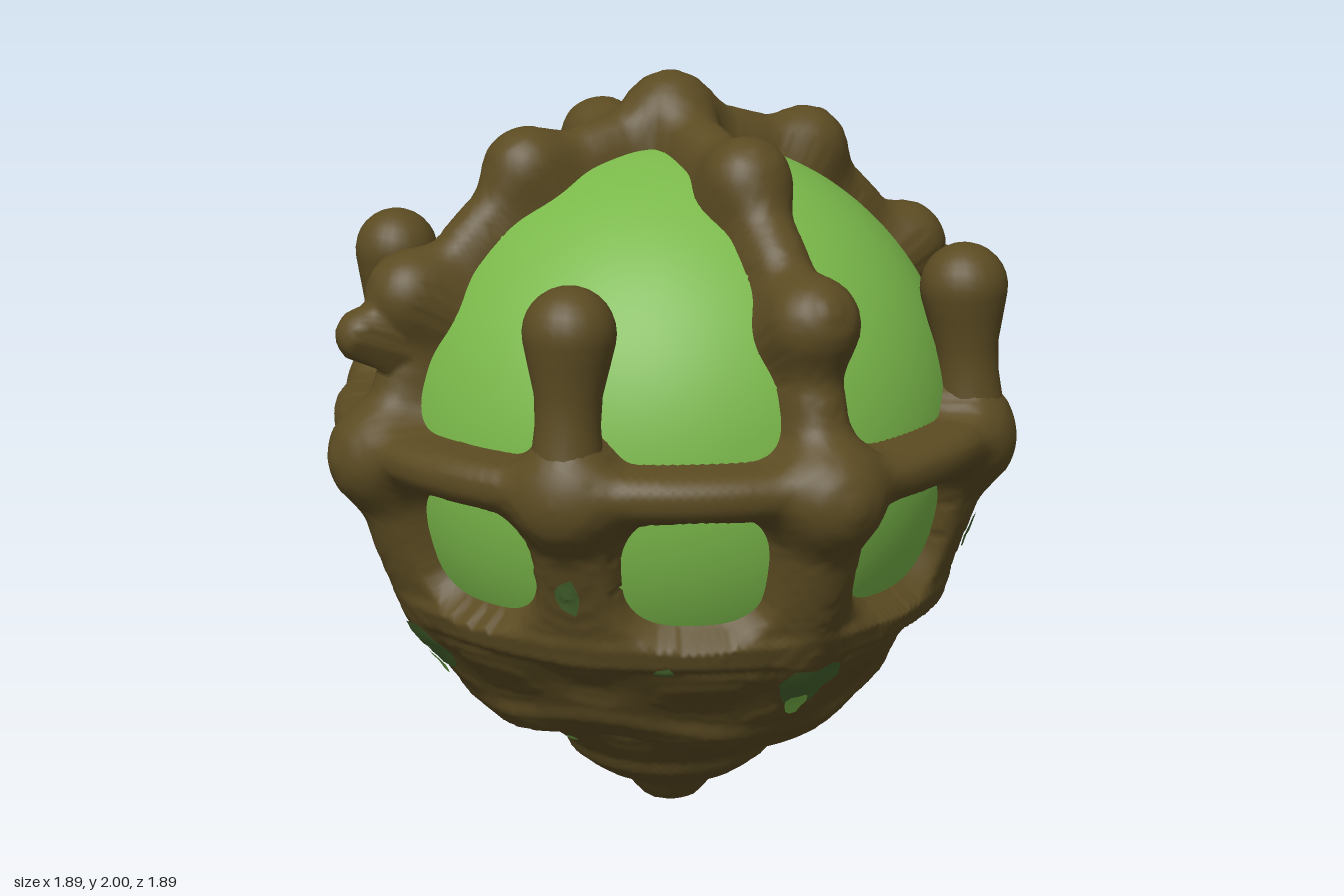
import * as THREE from 'three';
import { mergeVertices } from 'three/addons/utils/BufferGeometryUtils.js';

const CY = 1.07;        // height of the core's centre
const CORE_R = 0.76;

// Bowl outline: [height, radius]
const bowl = [[0, 0.02], [0.02, 0.075], [0.09, 0.13], [0.13, 0.21], [0.18, 0.275], [0.22, 0.29], [0.31, 0.385],
  [0.345, 0.45], [0.36, 0.515], [0.42, 0.575], [0.46, 0.59], [0.54, 0.64], [0.63, 0.705], [0.68, 0.72], [0.83, 0.78]];

function bowlRadius(y) {
  for (let i = 1; i < bowl.length; i++) {
    const [y0, r0] = bowl[i - 1], [y1, r1] = bowl[i];
    if (y <= y1) return r0 + (r1 - r0) * Math.max(0, (y - y0) / (y1 - y0));
  }
  return 0.78;
}

// Distance helpers for blending the root-like cage
const blend = (a, b, k) => {
  const h = Math.max(k - Math.abs(a - b), 0) / k;
  return Math.min(a, b) - h * h * k * 0.25;
};
function capsule(x, y, z, a, b, r) {
  const d = [b[0] - a[0], b[1] - a[1], b[2] - a[2]];
  const p = [x - a[0], y - a[1], z - a[2]];
  const len = d[0] * d[0] + d[1] * d[1] + d[2] * d[2];
  const t = Math.min(1, Math.max(0, (p[0] * d[0] + p[1] * d[1] + p[2] * d[2]) / len));
  return Math.hypot(p[0] - d[0] * t, p[1] - d[1] * t, p[2] - d[2] * t) - r;
}

const S = Math.SQRT1_2;
const diag = (rho, y) => [rho * S, y, rho * S];
// Struts and pillar feet within one eighth of the cage: start, end, radius
const limbs = [
  [[0.64, 0.68, 0], [0.8, 1.06, 0], 0.08],
  [diag(0.64, 0.68), diag(0.79, 1.06), 0.08],
  [diag(0.8, 1.1), diag(0.795, 1.2), 0.065],
];
// Knobs: centre, radius
const knobs = [
  [[0, 1.87, 0], 0.125], [[0.4, 1.77, 0], 0.11], [[0.715, 1.485, 0], 0.115],
  [[0.825, 1.09, 0], 0.115], [diag(0.78, 1.1), 0.12],
];

// Distance to the whole cage, folded into one eighth by symmetry
function cageDistance(px, y, pz) {
  let x = Math.abs(px), z = Math.abs(pz);
  const onSide = x > z;
  if (!onSide) [x, z] = [z, x];
  const rho = Math.hypot(x, z), az = Math.atan2(z, x);
  // ring round the middle and arch over the top
  let d = Math.hypot(rho - 0.82, y - 1.118) - 0.058;
  d = blend(d, Math.hypot(Math.hypot(x, y - CY) - 0.765, z) - 0.076, 0.12);
  for (const [a, b, r] of limbs) d = blend(d, capsule(x, y, z, a, b, r), 0.09);
  for (const [c, r] of knobs) d = blend(d, Math.hypot(x - c[0], y - c[1], z - c[2]) - r, 0.06);
  if (onSide) d = blend(d, Math.hypot(x - 0.845, y - 1.4, z) - 0.068, 0.03);
  // band under the ring, pierced by rounded windows
  const u = Math.abs(az - Math.PI / 8) / 0.262, v = Math.abs(y - 0.9) / 0.172;
  const hole = (Math.pow(u ** 2.7 + v ** 2.7, 1 / 2.7) - 1) * 0.17;
  const band = Math.max(rho - 0.74 - 0.27 * (y - 0.7), 0.66 - y, y - 1.12);
  d = blend(d, -blend(-band, hole, 0.05), 0.03);
  // bowl with wavy ledges
  const fade = Math.min(1, Math.max(0, (y - 0.24) / 0.1));
  const R = bowlRadius(y + 0.025 * fade * Math.cos(4 * az)) + 0.008 * fade * Math.cos(8 * az) * Math.sin(y * 30);
  return blend(d, Math.max((rho - R) * 0.4, -y, y - 0.705), 0.03);
}

// Outer radius of the cage along a direction; sinks under the core in the openings
function cageRadius(dx, dy, dz) {
  let r = 1.15, nearest = 1;
  while (r > 0.7) {
    const d = cageDistance(dx * r, CY + dy * r, dz * r);
    if (d < 0.002) return r;
    nearest = Math.min(nearest, d);
    r -= Math.max(d * 0.7, 0.003);
  }
  return Math.max(0.68, 0.79 - 3 * nearest);
}

function sphere(detail, radiusAt) {
  let g = new THREE.IcosahedronGeometry(1, detail);
  g.deleteAttribute('uv');
  g.deleteAttribute('normal');
  g = mergeVertices(g);
  const p = g.attributes.position, v = new THREE.Vector3();
  for (let i = 0; i < p.count; i++) {
    v.fromBufferAttribute(p, i).normalize();
    v.multiplyScalar(radiusAt(v.x, v.y, v.z));
    p.setXYZ(i, v.x, v.y + CY, v.z);
  }
  g.computeVertexNormals();
  return g;
}

// Thin irregular patch laid on the cage, placed by azimuth and height
function patch(az, y, w, h, lift) {
  const g = new THREE.RingGeometry(0.01, 1, 11, 4);
  const p = g.attributes.position, v = new THREE.Vector3();
  const rho = bowlRadius(y);
  for (let i = 0; i < p.count; i++) {
    const u = p.getX(i), t = p.getY(i), ang = Math.atan2(t, u);
    const ragged = 1 + 0.12 * Math.sin(3 * ang + az * 2) + 0.08 * Math.cos(5 * ang);
    const a = az + u * w * ragged / rho;
    v.set(Math.sin(a) * rho, y + t * h * ragged - CY, Math.cos(a) * rho).normalize();
    v.multiplyScalar(cageRadius(v.x, v.y, v.z) + lift);
    p.setXYZ(i, v.x, v.y + CY, v.z);
  }
  g.computeVertexNormals();
  return g;
}

// Free-standing pillar with a round head, base at the origin
function pillarGeometry() {
  const profile = [[0.1, 0], [0.085, 0.08], [0.077, 0.16], [0.08, 0.23], [0.096, 0.3]];
  for (let i = 0; i <= 8; i++) {
    const a = -0.2 + (Math.PI / 2 + 0.2) * i / 8;
    profile.push([Math.max(0, Math.cos(a) * 0.11), 0.375 + Math.sin(a) * 0.11]);
  }
  return new THREE.LatheGeometry(profile.map(([r, y]) => new THREE.Vector2(r, y)), 24);
}

export function createModel() {
  const root = new THREE.Group();
  const material = (name, color) => {
    const m = new THREE.MeshStandardMaterial({ color });
    m.name = name;
    return m;
  };
  const bark = material('bark brown', 0x5b4b22);
  const green = material('core green', 0x7ab84a);
  const moss = material('moss green', 0x48672f);
  const add = (name, geometry, mat) => {
    const mesh = new THREE.Mesh(geometry, mat);
    mesh.name = name;
    root.add(mesh);
    return mesh;
  };

  add('core', sphere(20, () => CORE_R), green);
  add('cage', sphere(74, cageRadius), bark);

  // Corner pillars, leaning slightly inwards
  const pillar = pillarGeometry();
  for (let k = 0; k < 4; k++) {
    const az = Math.PI / 4 + k * Math.PI / 2;
    const mesh = add('pillar', pillar, bark);
    mesh.position.set(Math.sin(az) * 0.8, 1.115, Math.cos(az) * 0.8);
    mesh.rotation.set(-0.08, az, 0, 'YXZ');
  }

  // Mossy patches, larger on the front and the right side
  for (let k = 0; k < 4; k++) {
    const az = k * Math.PI / 2, big = k === 0 || k === 3;
    const w = big ? 0.085 : 0.055, h = big ? 0.1 : 0.06;
    const y = big ? 0.59 : 0.54;
    add('mossPatch', patch(az + 0.03, y, w, h, 0.009), moss);
    add('mossHeart', patch(az, y - (big ? 0.05 : 0.02), w * 0.35, h * 0.5, 0.014), green);
    add('cornerMoss', patch(az + Math.PI / 4, 0.86, 0.03, 0.05, 0.008), moss);
    add('speck', patch(az + 0.35, 0.3, 0.02, 0.03, 0.009), green);
    add('mossSpeck', patch(az - 0.5, 0.66, 0.025, 0.022, 0.009), moss);
  }
  return root;
}
